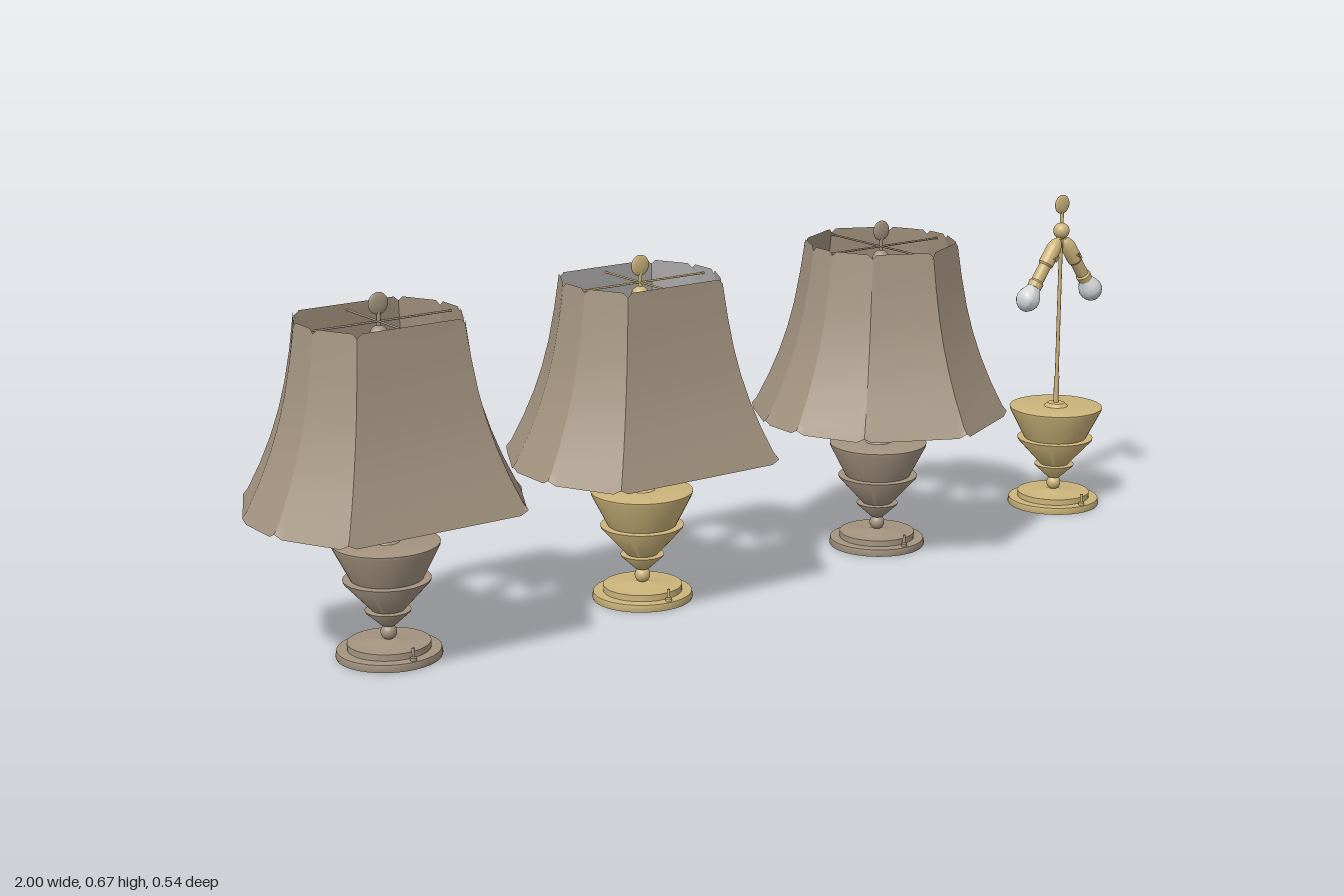
import * as THREE from 'three';
import { toCreasedNormals } from 'three/addons/utils/BufferGeometryUtils.js';

const mat = (name, color, side = THREE.FrontSide) => {
  const m = new THREE.MeshStandardMaterial({ color, side });
  m.name = name;
  return m;
};

// Shade flare: [height, fraction of the bottom outline]
const FLARE = [[0.28, 1], [0.3, 0.963], [0.35, 0.867], [0.4, 0.787], [0.45, 0.722],
  [0.5, 0.672], [0.56, 0.628], [0.63, 0.592]];
// Bottom outlines, counter-clockwise seen with x right and z up
const CUT_CORNER = [[0.25, -0.06], [0.25, 0.06], [0.18, 0.195], [-0.18, 0.195],
  [-0.25, 0.06], [-0.25, -0.06], [-0.18, -0.195], [0.18, -0.195]];
const POINTED = [[0.25, -0.05], [0.25, 0.05], [0.185, 0.18], [0, 0.27], [-0.185, 0.18],
  [-0.25, 0.05], [-0.25, -0.05], [-0.185, -0.18], [0, -0.27], [0.185, -0.18]];

function add(parent, name, geometry, material, x = 0, y = 0, z = 0) {
  const mesh = new THREE.Mesh(geometry, material);
  mesh.name = name;
  mesh.position.set(x, y, z);
  parent.add(mesh);
  return mesh;
}

// Turned part from [radius, height] pairs, bottom to top
function turned(profile, sides = 32) {
  const pts = profile.map(([r, y]) => new THREE.Vector2(r, y));
  return toCreasedNormals(new THREE.LatheGeometry(pts, sides), 0.6);
}

function rod(a, b, r) {
  const path = new THREE.LineCurve3(new THREE.Vector3(...a), new THREE.Vector3(...b));
  return new THREE.TubeGeometry(path, 1, r, 8);
}

// Flared panels with a small notch in both rims at each corner
function shadeGeometry(outline, scale, inward) {
  const pos = [], idx = [];
  const last = FLARE.length - 1;
  outline.forEach((a, k) => {
    const b = outline[(k + 1) % outline.length];
    const t = 0.016 / Math.hypot(b[0] - a[0], b[1] - a[1]);
    const start = pos.length / 3;
    FLARE.forEach(([y, f], row) => {
      [0, t, 1 - t, 1].forEach((s, col) => {
        const corner = col === 0 || col === 3;
        const notch = !corner ? 0 : row === 0 ? 0.008 : row === last ? -0.008 : 0;
        pos.push((a[0] + (b[0] - a[0]) * s) * f * scale, y + notch,
          (a[1] + (b[1] - a[1]) * s) * f * scale);
      });
    });
    for (let row = 0; row < last; row++) {
      for (let col = 0; col < 3; col++) {
        const p = start + row * 4 + col, q = p + 4;
        if (inward) idx.push(p, p + 1, q, p + 1, q + 1, q);
        else idx.push(p, q, p + 1, p + 1, q, q + 1);
      }
    }
  });
  const g = new THREE.BufferGeometry();
  g.setAttribute('position', new THREE.Float32BufferAttribute(pos, 3));
  g.setIndex(idx);
  g.computeVertexNormals();
  return g;
}

// One angled arm with socket, turn key and bulb
function socketArm(side, metal, glass) {
  const arm = new THREE.Group();
  arm.name = side > 0 ? 'leftSocketArm' : 'rightSocketArm';
  add(arm, 'socket', turned([[0, -0.13], [0.015, -0.13], [0.016, -0.118], [0.013, -0.114],
    [0.013, -0.078], [0.016, -0.074], [0.016, -0.035], [0.011, -0.02], [0.006, -0.014],
    [0.006, 0]], 20), metal);
  add(arm, 'turnKey', rod([0, -0.058, 0.01], [0, -0.058, 0.024], 0.002), metal);
  add(arm, 'turnKeyGrip', new THREE.BoxGeometry(0.004, 0.013, 0.003), metal, 0, -0.058, 0.025);
  add(arm, 'bulb', turned([[0, -0.185], [0.009, -0.183], [0.018, -0.176], [0.024, -0.165],
    [0.025, -0.156], [0.022, -0.145], [0.016, -0.134], [0.012, -0.126], [0.012, -0.12]], 20), glass);
  arm.position.y = 0.588;
  arm.rotation.z = side * 0.605;
  return arm;
}

function createLamp(metal, glass) {
  const lamp = new THREE.Group();
  // Stepped foot
  add(lamp, 'base', turned([[0, 0], [0.096, 0], [0.097, 0.003], [0.095, 0.014], [0.076, 0.015],
    [0.076, 0.027], [0.02, 0.028], [0.01, 0.032], [0, 0.032]], 40), metal);
  add(lamp, 'switchPost', turned([[0.006, 0.012], [0.006, 0.02], [0.003, 0.022], [0.003, 0.038],
    [0, 0.039]], 12), metal, 0, 0, 0.087);
  add(lamp, 'neckBall', new THREE.SphereGeometry(0.015, 20, 14), metal, 0, 0.045, 0);
  // Three stacked bowls
  add(lamp, 'body', turned([[0, 0.055], [0.013, 0.058], [0.041, 0.084], [0.042, 0.087],
    [0.03, 0.088], [0.079, 0.142], [0.08, 0.146], [0.066, 0.147], [0.097, 0.208],
    [0.098, 0.214], [0.094, 0.215], [0.025, 0.215], [0.018, 0.222], [0, 0.223]], 40), metal);
  // Stem, socket cluster and finial
  add(lamp, 'stem', rod([0, 0.22, 0], [0, 0.645, 0], 0.004), metal);
  add(lamp, 'stemSleeve', rod([0, 0.22, 0], [0, 0.28, 0], 0.0055), metal);
  add(lamp, 'clusterBall', new THREE.SphereGeometry(0.017, 20, 14), metal, 0, 0.594, 0);
  for (const side of [-1, 1]) lamp.add(socketArm(side, metal, glass));
  const finial = add(lamp, 'finial', new THREE.SphereGeometry(0.02, 24, 16), metal, 0, 0.65, 0);
  finial.scale.z = 0.24;
  return lamp;
}

function addShade(lamp, outline, outside, inside, metal) {
  add(lamp, 'shadeOutside', shadeGeometry(outline, 1, false), outside);
  add(lamp, 'shadeLining', shadeGeometry(outline, 0.985, true), inside);
  // Wire spokes holding the shade
  const halfX = outline[0][0] * 0.592;
  const halfZ = Math.max(...outline.map((p) => p[1])) * 0.592;
  for (const s of [-1, 1]) {
    add(lamp, 'spokeX', rod([0, 0.618, 0], [s * halfX, 0.618, 0], 0.002), metal);
    add(lamp, 'spokeZ', rod([0, 0.618, 0], [0, 0.618, s * halfZ], 0.002), metal);
  }
}

export function createModel() {
  const taupe = mat('taupe', 0xa49480);
  const gold = mat('gold', 0xccb47a);
  const glass = mat('bulbGlass', 0xd4d5d8);
  const lining = mat('greyLining', 0xb4b0b2);
  const model = new THREE.Group();
  model.name = 'tableLamps';
  const lamps = [
    ['firstLamp', -0.75, taupe, CUT_CORNER, taupe],
    ['secondLamp', -0.193, gold, CUT_CORNER, lining],
    ['thirdLamp', 0.391, taupe, POINTED, taupe],
    ['bareLamp', 0.883, gold, null, null],
  ];
  for (const [name, x, metal, outline, inside] of lamps) {
    const lamp = createLamp(metal, glass);
    lamp.name = name;
    lamp.position.x = x;
    if (outline) addShade(lamp, outline, taupe, inside, metal);
    model.add(lamp);
  }
  return model;
}
